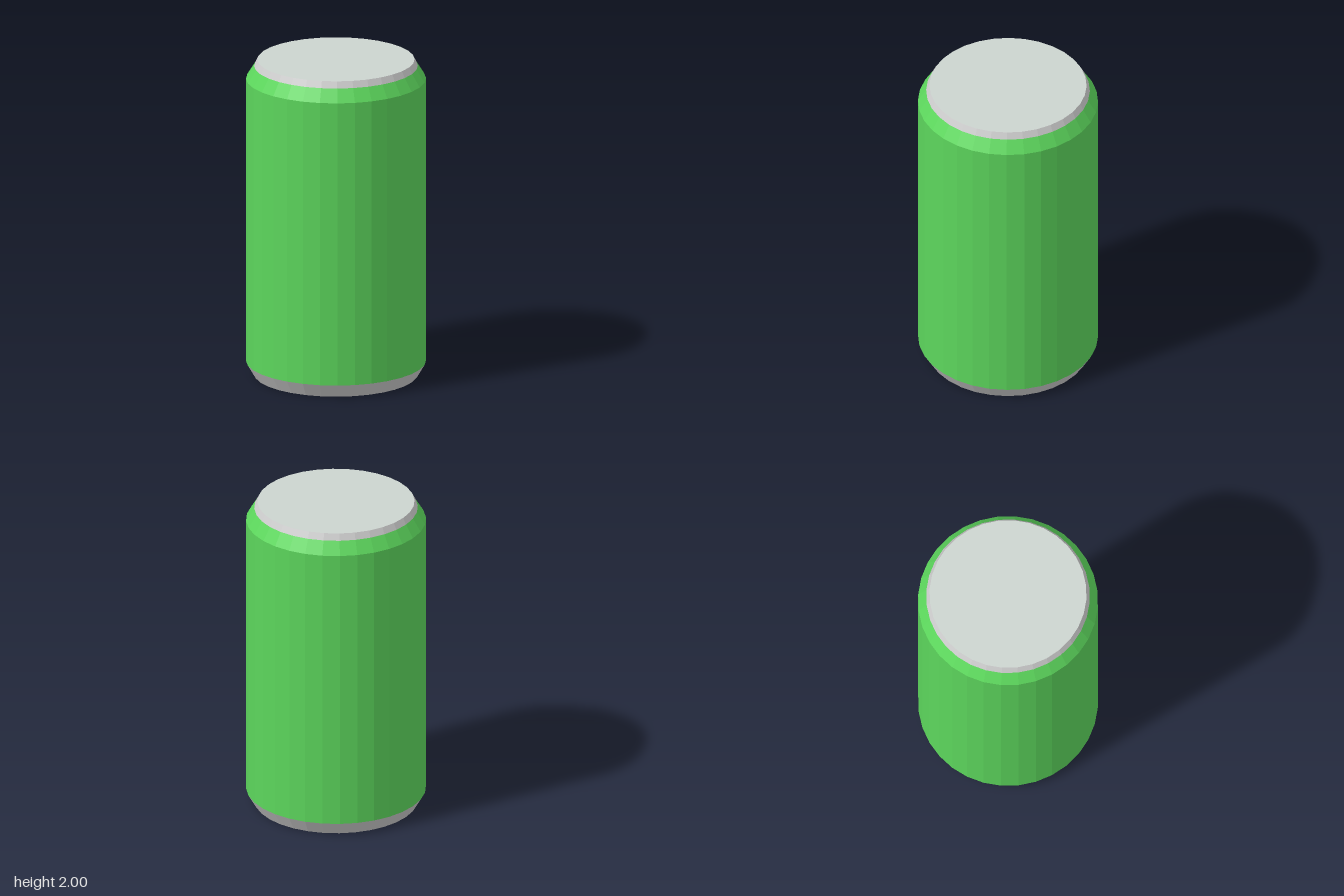
import * as THREE from 'three';

const SIDES = 32;

// Faceted ring or disc turned from [radius, height] pairs, listed bottom to top
function turned(name, color, profile) {
  const points = profile.map(([r, y]) => new THREE.Vector2(r, y));
  const material = new THREE.MeshStandardMaterial({ color, flatShading: true });
  const mesh = new THREE.Mesh(new THREE.LatheGeometry(points, SIDES), material);
  mesh.name = name;
  return mesh;
}

export function createModel() {
  const can = new THREE.Group();
  can.name = 'drinkCan';

  // Closed metal base with a chamfered edge
  can.add(turned('base', 0xcccccc, [[0, 0], [0.5, 0], [0.55, 0.085]]));

  // Painted wall and sloping shoulder
  can.add(turned('body', 0x5cd65c, [[0.55, 0.085], [0.55, 1.88], [0.5, 1.96]]));

  // Metal rim and flat lid
  can.add(turned('rim', 0xcccccc, [[0.5, 1.96], [0.48, 2]]));
  can.add(turned('lid', 0xccd4cf, [[0.48, 2], [0, 2]]));

  return can;
}
